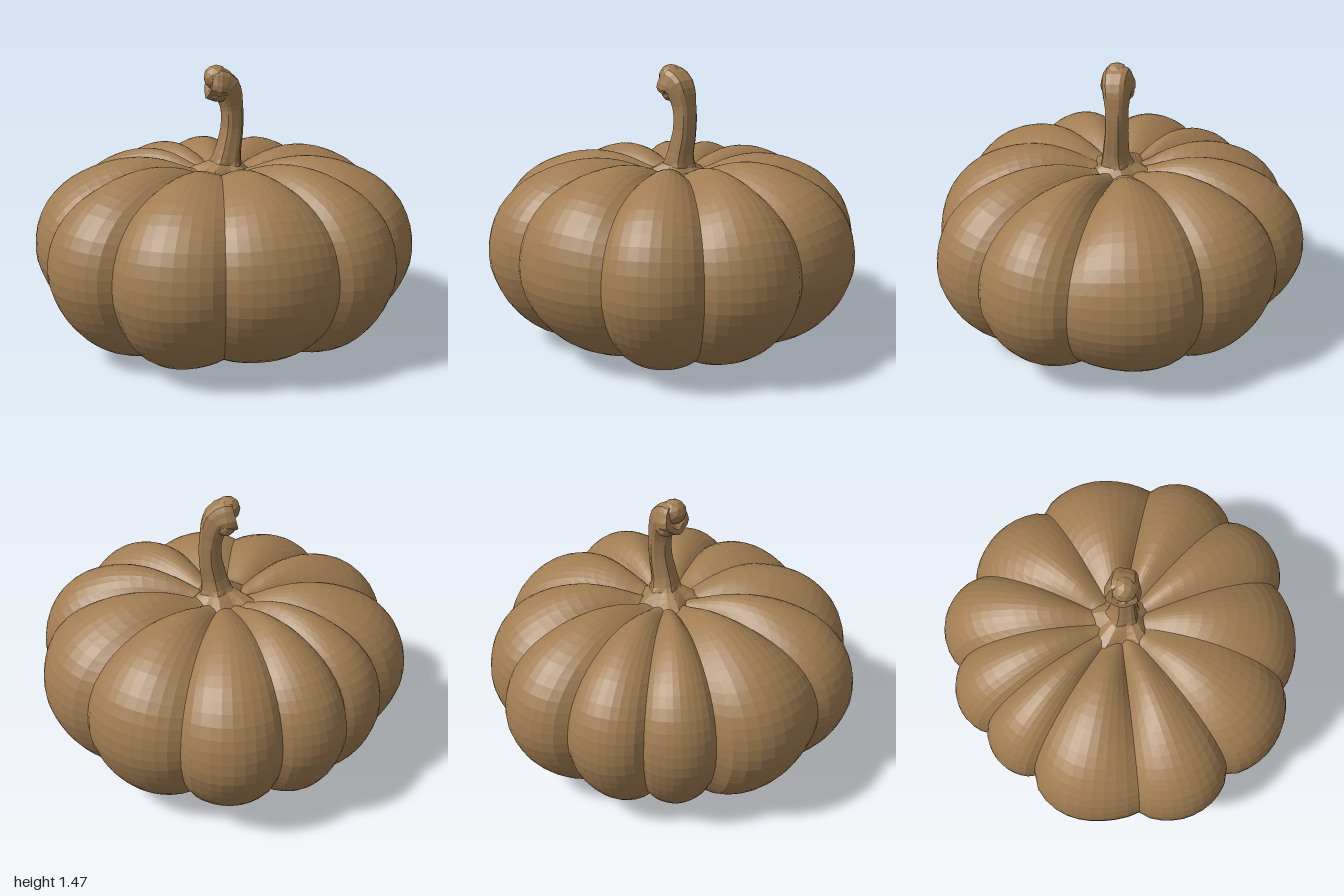
import * as THREE from 'three';

const skin = new THREE.MeshStandardMaterial({ name: 'pumpkinBrown', color: 0xa07c52, flatShading: true });

// Grooves around the body: [angle in degrees, groove radius, peak radius of the lobe that follows, depth on the crown]
const GROOVES = [
  [-71, 0.9, 0.97, 0.13], [-34.5, 0.9, 0.995, 0.12], [7, 0.955, 1.045, 0.18], [38, 0.97, 1.05, 0.12],
  [67, 0.955, 0.995, 0.12], [102, 0.945, 1.025, 0.07], [137, 0.93, 1.035, 0.12], [169, 0.945, 1.0, 0.17],
  [207.5, 0.865, 0.935, 0.12], [231, 0.875, 0.96, 0.1], [257, 0.89, 1.0, 0.09],
];

// Skin closed rings of points, stacked from bottom to top
function loft(rings) {
  const n = rings[0].length, index = [];
  for (let i = 0; i < rings.length - 1; i++) {
    for (let j = 0; j < n; j++) {
      const k = (j + 1) % n, a = i * n, b = a + n;
      index.push(a + j, b + j, a + k, b + j, b + k, a + k);
    }
  }
  const geo = new THREE.BufferGeometry().setFromPoints(rings.flat());
  geo.setIndex(index);
  geo.computeVertexNormals();
  return geo;
}

function named(geo, name) {
  const mesh = new THREE.Mesh(geo, skin);
  mesh.name = name;
  return mesh;
}

// Ribbed body: one profile swept around, with the radius swelling in each lobe
function bodyGeometry() {
  const profile = new THREE.SplineCurve([
    [0, 0.09], [0.1, 0.07], [0.25, 0.035], [0.45, 0.006], [0.65, 0.03], [0.8, 0.11],
    [0.92, 0.25], [0.985, 0.4], [1, 0.51], [0.98, 0.64], [0.92, 0.765], [0.8, 0.88],
    [0.62, 0.96], [0.45, 0.985], [0.3, 0.965], [0.15, 0.91], [0, 0.88],
  ].map(([r, y]) => new THREE.Vector2(r, y))).getSpacedPoints(40);

  const spokes = [];
  GROOVES.forEach(([start, low, high, depth], i) => {
    const next = GROOVES[(i + 1) % GROOVES.length];
    const end = next[0] + (i === GROOVES.length - 1 ? 360 : 0);
    for (let s = 0; s < 10; s++) {
      const t = s / 10, arch = Math.sin(Math.PI * t);
      const valley = THREE.MathUtils.lerp(low, next[1], t);
      spokes.push({
        angle: THREE.MathUtils.degToRad(THREE.MathUtils.lerp(start, end, t)),
        radius: valley + (high - valley) * Math.pow(arch, 0.7),
        dip: 1 - Math.pow(arch, 0.9),
        depth: THREE.MathUtils.lerp(depth, next[3], t),
      });
    }
  });

  return loft(profile.map((p) => spokes.map(({ angle, radius, dip, depth }) => {
    const top = p.y > 0.5;
    // Grooves soften towards the middle, and sooner underneath
    const fade = top ? THREE.MathUtils.smoothstep(p.x, 0, 0.4) : THREE.MathUtils.smoothstep(p.x, 0.2, 0.85);
    const r = Math.max(0, p.x) * THREE.MathUtils.lerp(0.96, radius, fade);
    const x = Math.cos(angle) * r, z = Math.sin(angle) * r;
    let y = 0.5 + (p.y - 0.5) * (1 - dip * fade * (top ? depth : 0.06));
    // Slightly tilted crown and base; four low feet on the diagonals underneath
    if (top) y += (y - 0.5) * (0.04 * z + 0.03 * x);
    else y += (0.5 - y) * (0.02 * x + 0.035 * fade ** 0.5 * (1 + Math.cos(4 * angle)));
    return new THREE.Vector3(x, y, z);
  })));
}

// Bent stalk: ribbed cross-sections along a curve, flared at the foot and swollen at the cut end
function stemGeometry() {
  const path = new THREE.CatmullRomCurve3([
    [0.025, 0.87, 0], [0.04, 0.98, 0.02], [0.067, 1.13, 0.015],
    [0.064, 1.25, 0.015], [0.025, 1.355, 0.02], [-0.06, 1.375, 0.015],
  ].map((p) => new THREE.Vector3(...p)));
  const widths = [[0, 0.18], [0.06, 0.14], [0.13, 0.082], [0.25, 0.068], [0.45, 0.06],
    [0.65, 0.06], [0.8, 0.074], [0.93, 0.092], [1, 0.078]];
  const side = new THREE.Vector3(0, 0, 1);

  const section = (t, r) => {
    const c = path.getPointAt(t), e1 = path.getTangentAt(t).cross(side).normalize();
    const ribs = 0.06 + 0.16 * Math.max(0, 1 - t * 6);
    return Array.from({ length: 20 }, (_, j) => {
      const a = (j / 20) * Math.PI * 2;
      const w = r * (1 + ribs * Math.cos(5 * a + 1 + t * 2));
      return c.clone().addScaledVector(e1, Math.cos(a) * w).addScaledVector(side, Math.sin(a) * w);
    });
  };
  const rings = [];
  for (let i = 0; i <= 24; i++) {
    const t = i / 24;
    const k = Math.max(1, widths.findIndex(([u]) => u >= t));
    const [u0, r0] = widths[k - 1], [u1, r1] = widths[k];
    rings.push(section(t, THREE.MathUtils.mapLinear(t, u0, u1, r0, r1)));
  }
  // Dished cut face
  rings.push(section(1, 0.05), section(0.975, 0.025), section(0.98, 0));
  return loft(rings);
}

export function createModel() {
  const group = new THREE.Group();
  group.name = 'pumpkin';
  group.add(named(bodyGeometry(), 'body'), named(stemGeometry(), 'stem'));

  // Swellings half sunk into the cut end of the stalk
  [[-0.01, 1.325, -0.02, 0.05], [-0.01, 1.325, 0.045, 0.048], [-0.025, 1.405, 0.025, 0.066]].forEach(([x, y, z, r]) => {
    const knob = named(new THREE.IcosahedronGeometry(r, 1), 'stemKnob');
    knob.position.set(x, y, z);
    group.add(knob);
  });
  return group;
}
